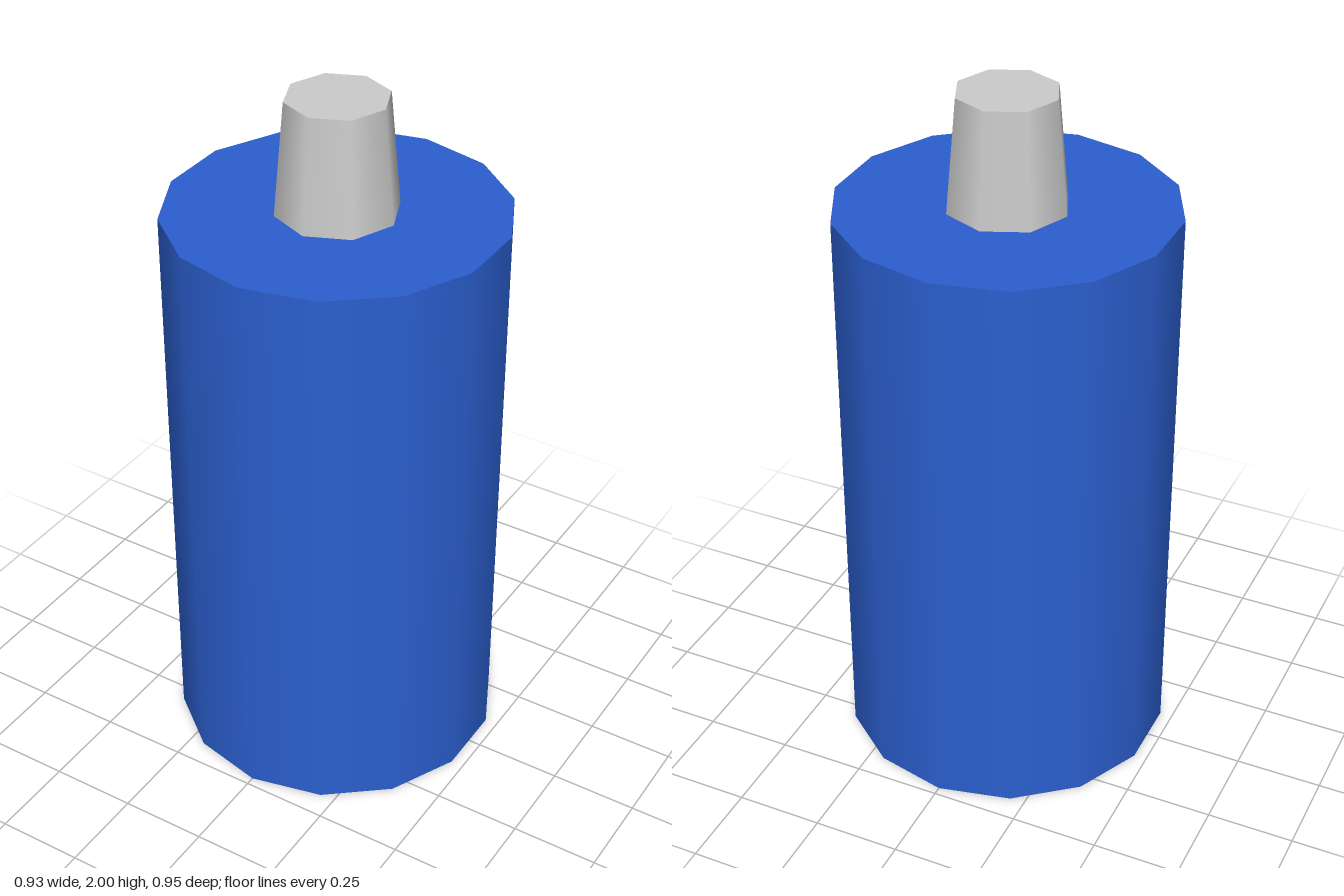
import * as THREE from 'three';

// Upright round part with smooth sides and flat caps, standing on y = bottom
function roundPart(name, topRadius, bottomRadius, bottom, top, sides, color) {
  const geometry = new THREE.CylinderGeometry(topRadius, bottomRadius, top - bottom, sides);
  const mesh = new THREE.Mesh(geometry, new THREE.MeshStandardMaterial({ color }));
  mesh.name = name;
  mesh.position.y = (bottom + top) / 2;
  return mesh;
}

export function createModel() {
  const model = new THREE.Group();
  model.name = 'canister';

  const bodyTop = 1.675;
  // Blue fourteen-sided body
  model.add(roundPart('body', 0.475, 0.475, 0, bodyTop, 14, 0x2b5fcf));
  // Grey tapered eight-sided nozzle
  model.add(roundPart('nozzle', 0.143, 0.172, bodyTop, 2, 8, 0xcccccc));

  return model;
}
